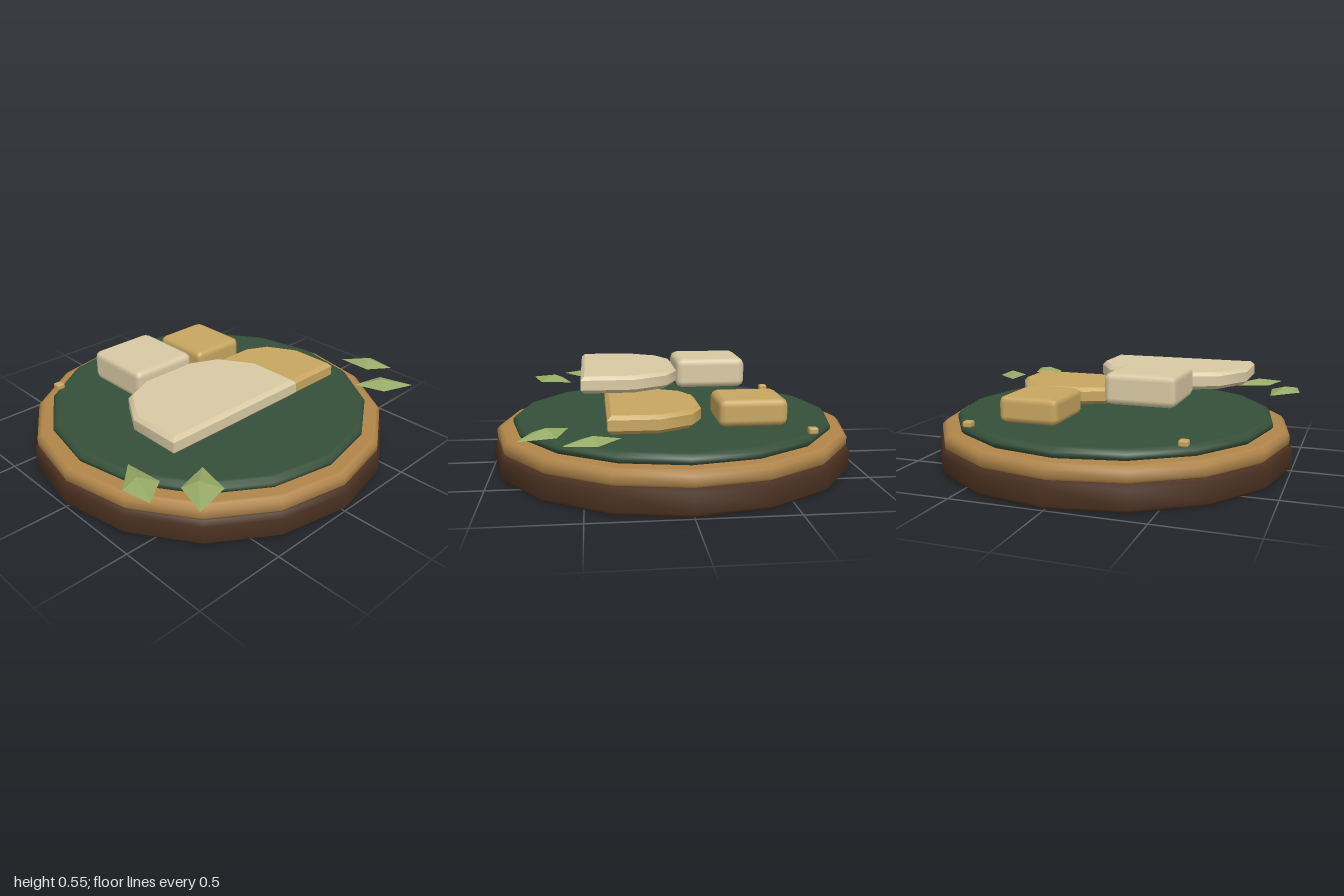
import * as THREE from 'three';
import { toCreasedNormals } from 'three/addons/utils/BufferGeometryUtils.js';
import { RoundedBoxGeometry } from 'three/addons/geometries/RoundedBoxGeometry.js';

const mat = (name, color, side = THREE.FrontSide) => {
  const m = new THREE.MeshStandardMaterial({ color, side });
  m.name = name;
  return m;
};

export function createModel() {
  const darkWood = mat('dark wood', 0x4a3020);
  const lightWood = mat('light wood', 0xb0854a);
  const felt = mat('green felt', 0x35503a);
  const cream = mat('cream', 0xd9caa4);
  const gold = mat('gold', 0xc8a660);
  const leafGreen = mat('leaf green', 0x97aa66, THREE.DoubleSide);

  const model = new THREE.Group();
  const add = (name, geometry, material, x = 0, y = 0, z = 0, parent = model) => {
    const mesh = new THREE.Mesh(geometry, material);
    mesh.name = name;
    mesh.position.set(x, y, z);
    parent.add(mesh);
    return mesh;
  };

  // Sixteen-sided bevelled discs, stacked
  const disc = (name, r, y0, y1, b, material) => {
    const profile = [
      [0, y0], [r - b - 0.02, y0], [r - b, y0], [r, y0 + b],
      [r, y1 - b], [r - b, y1], [r - b - 0.02, y1], [0, y1],
    ].map(([x, y]) => new THREE.Vector2(x, y));
    add(name, new THREE.LatheGeometry(profile, 16), material);
  };
  disc('base', 1, 0, 0.137, 0.022, darkWood);
  disc('rim', 0.982, 0.13, 0.217, 0.022, lightWood);
  disc('feltTop', 0.892, 0.21, 0.27, 0.02, felt);

  // Flat figures: a bevelled block head and an arched slab for shoulders
  const figure = (name, material, head, body) => {
    const group = new THREE.Group();
    group.name = name;
    model.add(group);
    const [hx, hy, hz, hw, hh, hd] = head;
    add('head', new RoundedBoxGeometry(hw, hh, hd, 1, 0.036), material, hx, hy, hz, group);

    const { x, y, half, back, front, height } = body;
    const d = front - back;
    const side = [[1, 0], [1, 0.53], [0.735, 0.87], [0.37, 1]];
    const outline = [...side, ...side.map(([u, v]) => [-u, v]).reverse()];
    const shape = new THREE.Shape(outline.map(([u, v]) => new THREE.Vector2(u * half, v * d)));
    const b = 0.02;
    const slab = new THREE.ExtrudeGeometry(shape, {
      depth: height - 2 * b, bevelEnabled: true, bevelThickness: b,
      bevelSize: b, bevelOffset: -b, bevelSegments: 1,
    });
    slab.translate(0, 0, b);
    slab.rotateX(-Math.PI / 2);
    add('shoulders', toCreasedNormals(slab, 0.7), material, x, y, front, group);
  };
  figure('creamFigure', cream,
    [-0.275, 0.469, -0.238, 0.38, 0.166, 0.4],
    { x: -0.275, y: 0.412, half: 0.43, back: -0.04, front: 0.51, height: 0.094 });
  figure('goldFigure', gold,
    [0.285, 0.35, -0.383, 0.332, 0.144, 0.366],
    { x: 0.28, y: 0.303, half: 0.35, back: 0.11 * -1, front: 0.38, height: 0.094 });

  // Small studs near the back edge
  for (const s of [-1, 1]) {
    add('stud', new RoundedBoxGeometry(0.05, 0.034, 0.05, 1, 0.01), gold, s * 0.57, 0.285, -0.66);
  }

  // Leaves: shallow four-sided pyramids, corners given as x, z
  const leaf = (name, corners, [cx, cz]) => {
    const pos = [];
    corners.forEach((p, i) => {
      const q = corners[(i + 1) % 4];
      pos.push(cx, 0.37, cz, p[0], 0.338, p[1], q[0], 0.338, q[1]);
    });
    const geo = new THREE.BufferGeometry();
    geo.setAttribute('position', new THREE.Float32BufferAttribute(pos, 3));
    geo.computeVertexNormals();
    add(name, geo, leafGreen);
  };
  leaf('rightOuterLeaf', [[-0.83, 0.32], [-0.98, 0.47], [-0.95, 0.63], [-0.81, 0.53]], [-0.895, 0.47]);
  leaf('rightInnerLeaf', [[-0.59, 0.58], [-0.775, 0.635], [-0.833, 0.825], [-0.635, 0.775]], [-0.71, 0.685]);
  leaf('leftOuterLeaf', [[0.815, 0.32], [0.81, 0.505], [0.93, 0.59], [0.955, 0.43]], [0.88, 0.45]);
  leaf('leftInnerLeaf', [[0.6, 0.57], [0.655, 0.735], [0.835, 0.8], [0.785, 0.615]], [0.71, 0.67]);

  return model;
}
